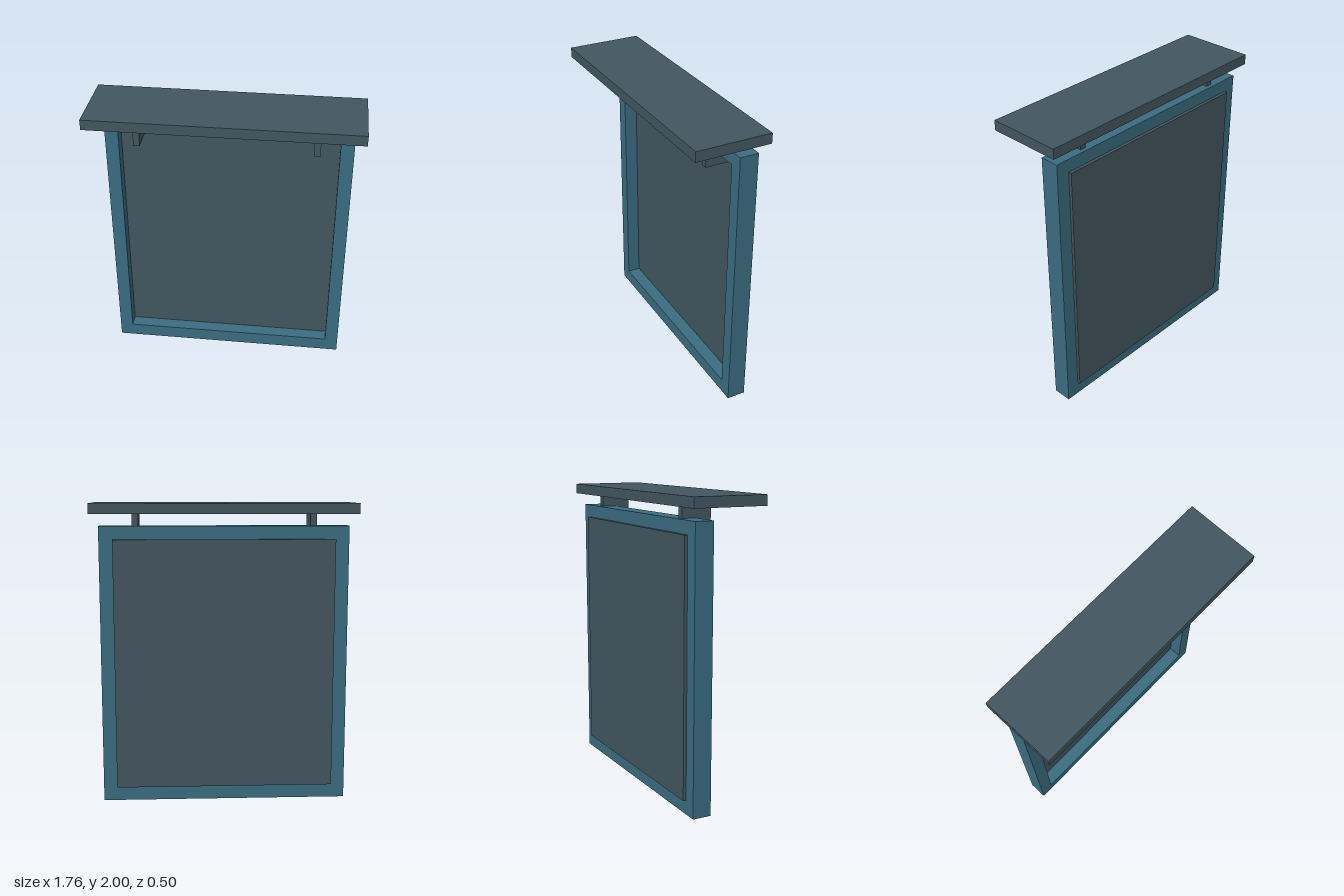
import * as THREE from 'three';

export function createModel() {
  const group = new THREE.Group();
  const teal = new THREE.MeshStandardMaterial({ color: 0x3a6d81 });
  teal.name = 'teal frame';
  const slate = new THREE.MeshStandardMaterial({ color: 0x43565f });
  slate.name = 'slate grey';

  // Box given by its minimum and maximum corners
  function addBox(name, material, [x0, y0, z0], [x1, y1, z1]) {
    const mesh = new THREE.Mesh(new THREE.BoxGeometry(x1 - x0, y1 - y0, z1 - z0), material);
    mesh.position.set((x0 + x1) / 2, (y0 + y1) / 2, (z0 + z1) / 2);
    mesh.name = name;
    group.add(mesh);
  }

  function rectangle(path, halfWidth, bottom, top) {
    path.moveTo(-halfWidth, bottom);
    path.lineTo(halfWidth, bottom);
    path.lineTo(halfWidth, top);
    path.lineTo(-halfWidth, top);
    path.closePath();
    return path;
  }

  // Frame with a rectangular opening
  const outline = rectangle(new THREE.Shape(), 0.82, 0, 1.853);
  outline.holes.push(rectangle(new THREE.Path(), 0.73, 0.095, 1.767));
  const frame = new THREE.Mesh(
    new THREE.ExtrudeGeometry(outline, { depth: 0.127, bevelEnabled: false }), teal);
  frame.position.z = -0.207;
  frame.name = 'frame';
  group.add(frame);

  // Panel recessed at the front, slightly proud at the back
  addBox('panel', slate, [-0.73, 0.095, -0.228], [0.73, 1.767, -0.17]);

  // Canopy and its two brackets
  addBox('canopy', slate, [-0.88, 1.932, -0.252], [0.88, 2, 0.252]);
  for (const [name, x] of [['leftBracket', 0.583], ['rightBracket', -0.587]]) {
    addBox(name, slate, [x - 0.021, 1.71, -0.18], [x + 0.021, 1.932, 0.022]);
  }

  return group;
}
